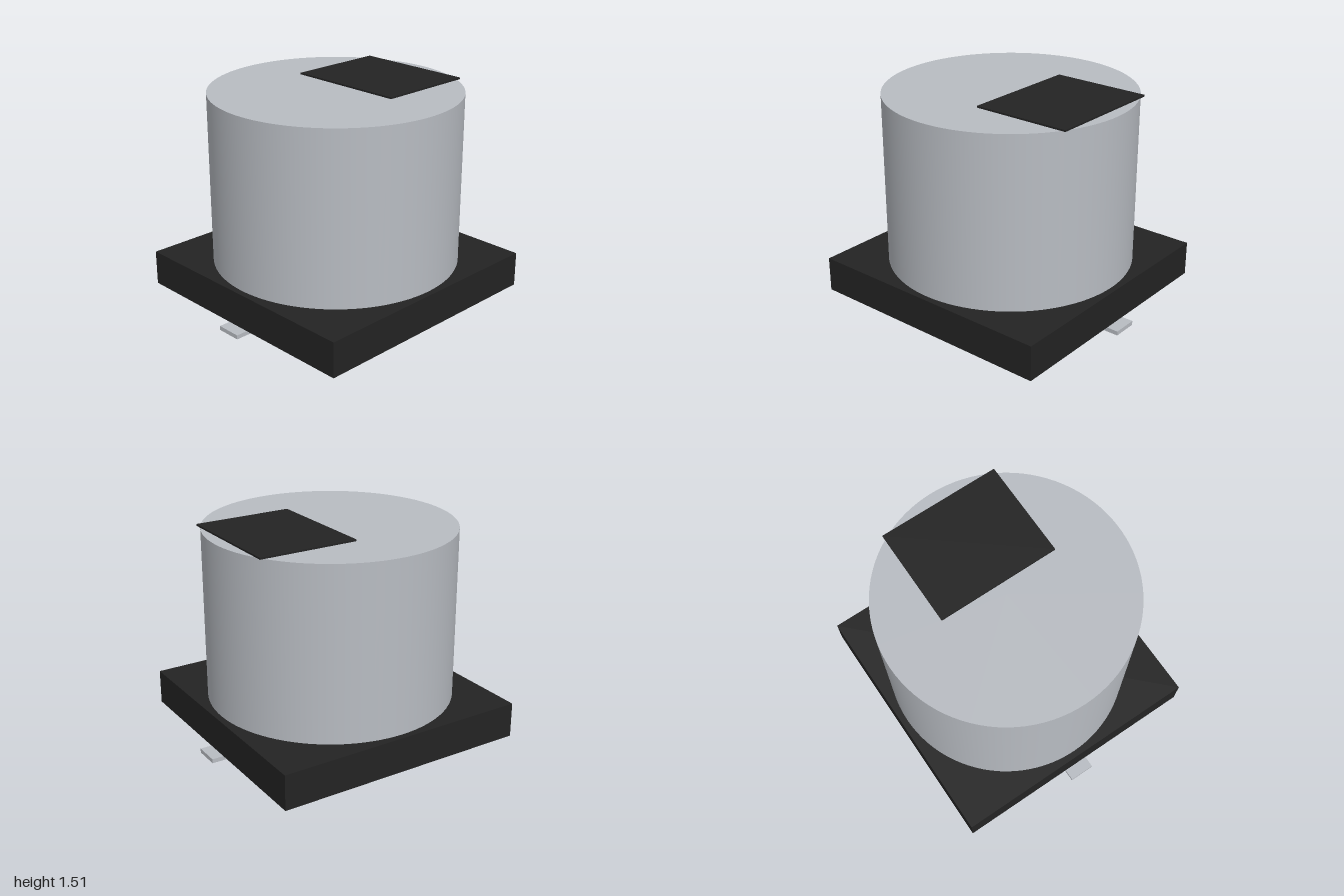
import * as THREE from 'three';

export function createModel() {
  const metal = new THREE.MeshStandardMaterial({ color: 0xb8bcc2 });
  metal.name = 'silver metal';
  const black = new THREE.MeshStandardMaterial({ color: 0x232323 });
  black.name = 'black plastic';

  const model = new THREE.Group();
  model.name = 'surfaceMountCapacitor';

  const add = (name, geometry, material, x, y) => {
    const mesh = new THREE.Mesh(geometry, material);
    mesh.name = name;
    mesh.position.set(x, y, 0);
    model.add(mesh);
  };

  // Square base and round can
  add('base', new THREE.BoxGeometry(1.834, 0.25, 1.834), black, 0, 0.155);
  add('can', new THREE.CylinderGeometry(0.873, 0.873, 1.22, 96), metal, 0, 0.89);

  // Polarity plate lying on the can, its corners overhanging the rim
  add('polarityMark', new THREE.BoxGeometry(0.707, 0.012, 0.873), black, 0.433, 1.506);

  // Flat leads under the base, one on each side
  for (const [name, side] of [['leftLead', 1], ['rightLead', -1]]) {
    add(name, new THREE.BoxGeometry(0.746, 0.03, 0.18), metal, side * 0.627, 0.015);
  }

  return model;
}
